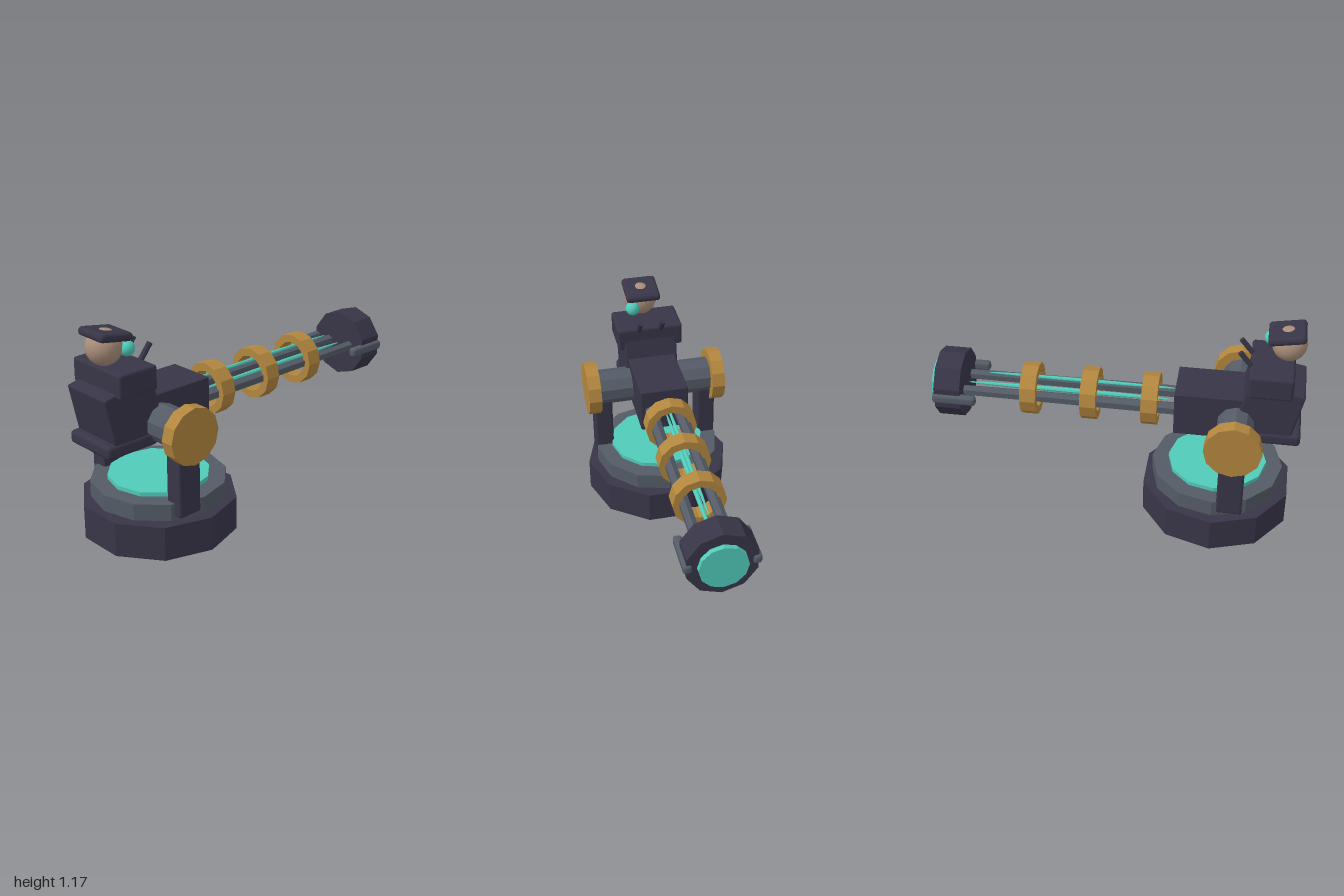
import * as THREE from 'three';
import { RoundedBoxGeometry } from 'three/addons/geometries/RoundedBoxGeometry.js';

const mat = (name, color, flatShading = false) => {
  const m = new THREE.MeshStandardMaterial({ color });
  m.name = name;
  m.flatShading = flatShading;
  return m;
};

export function createModel() {
  const model = new THREE.Group();
  model.name = 'turret';
  const dark = mat('dark plum metal', 0x383547, true);
  const slate = mat('slate metal', 0x545b66, true);
  const gold = mat('brass', 0xb2863e, true);
  const teal = mat('teal glow', 0x51cab9, true);
  const skin = mat('tan skin', 0xa98d7a);
  const eyeTeal = teal.clone();
  eyeTeal.flatShading = false;
  eyeTeal.name = 'smooth teal';

  const add = (name, geometry, material, x, y, z = 0, tilt = 0) => {
    const mesh = new THREE.Mesh(geometry, material);
    mesh.name = name;
    mesh.position.set(x, y, z);
    mesh.rotation.z = tilt;
    model.add(mesh);
    return mesh;
  };
  const box = (w, h, d, r = 0.012) => new RoundedBoxGeometry(w, h, d, 2, r);
  const drum = (r, h, sides) => new THREE.CylinderGeometry(r, r, h, sides);
  // Cylinder lying along x, with a corner at the top
  const alongX = (g) => g.rotateY(Math.PI / 2).rotateZ(-Math.PI / 2);

  // Pedestal
  const baseX = -0.56;
  add('base', drum(0.415, 0.185, 10), dark, baseX, 0.0925);
  add('turntable', drum(0.36, 0.09, 12), slate, baseX, 0.237);
  add('glowDisc', drum(0.27, 0.023, 12), teal, baseX, 0.2935);

  // Trunnion: axle, side posts and end discs
  const pivot = [-0.65, 0.652];
  add('axle', drum(0.1, 0.74, 10).rotateX(Math.PI / 2), slate, ...pivot);
  for (const s of [1, -1]) {
    add('sidePost', box(0.137, 0.44, 0.103), dark, -0.651, 0.43, s * 0.307);
    add('axleDisc', drum(0.151, 0.073, 12).rotateX(Math.PI / 2), gold, ...pivot, s * 0.363);
  }

  // Body and seated gunner
  add('breech', box(0.52, 0.252, 0.27, 0.006), dark, -0.58, 0.673);
  add('seat', box(0.31, 0.07, 0.32, 0.02), dark, -0.837, 0.58);
  add('torso', box(0.3, 0.3, 0.304, 0.01), dark, -0.819, 0.744, 0, 0.21);
  add('shoulders', box(0.23, 0.13, 0.376, 0.015), dark, -0.815, 0.915);
  add('head', new THREE.SphereGeometry(0.092, 24, 16), skin, -0.89, 1.075, 0.02);
  add('cap', box(0.195, 0.045, 0.197, 0.02), dark, -0.875, 1.137, 0.018, -0.17);
  add('eye', new THREE.SphereGeometry(0.04, 20, 14), eyeTeal, -0.8, 1.062, 0.082);
  for (const s of [1, -1]) {
    add('handle', drum(0.015, 0.115, 8), dark, -0.68, 1.003, s * 0.064, -0.68);
  }

  // Barrel: twin tapered rails, glowing needles and brass rings
  const barrelY = 0.67;
  for (const s of [1, -1]) {
    const rail = alongX(new THREE.CylinderGeometry(0.029, 0.036, 1.2, 6));
    add('rail', rail, slate, 0.25, barrelY, s * 0.079);
  }
  for (const [x, y, half, r] of [[0.19, 0.745, 0.52, 0.011], [0.27, barrelY, 0.56, 0.014]]) {
    add('needle', new THREE.SphereGeometry(1, 8, 12).rotateZ(-Math.PI / 2).scale(half, r, r), teal, x, y);
  }
  const ringProfile = [[0.1, -0.043], [0.143, -0.043], [0.143, 0.043], [0.1, 0.043], [0.1, -0.043]]
    .map(([r, h]) => new THREE.Vector2(r, h));
  for (const x of [-0.185, 0.143, 0.47]) {
    add('barrelRing', alongX(new THREE.LatheGeometry(ringProfile, 12)), gold, x, barrelY);
  }

  // Muzzle with lens and side clamps
  add('muzzle', alongX(drum(0.187, 0.142, 10)), dark, 0.902, barrelY);
  add('lens', alongX(drum(0.126, 0.03, 12)), teal, 0.985, barrelY);
  for (const s of [1, -1]) {
    add('muzzleClamp', box(0.238, 0.052, 0.046, 0.016), slate, 0.865, barrelY, s * 0.173);
  }
  return model;
}
